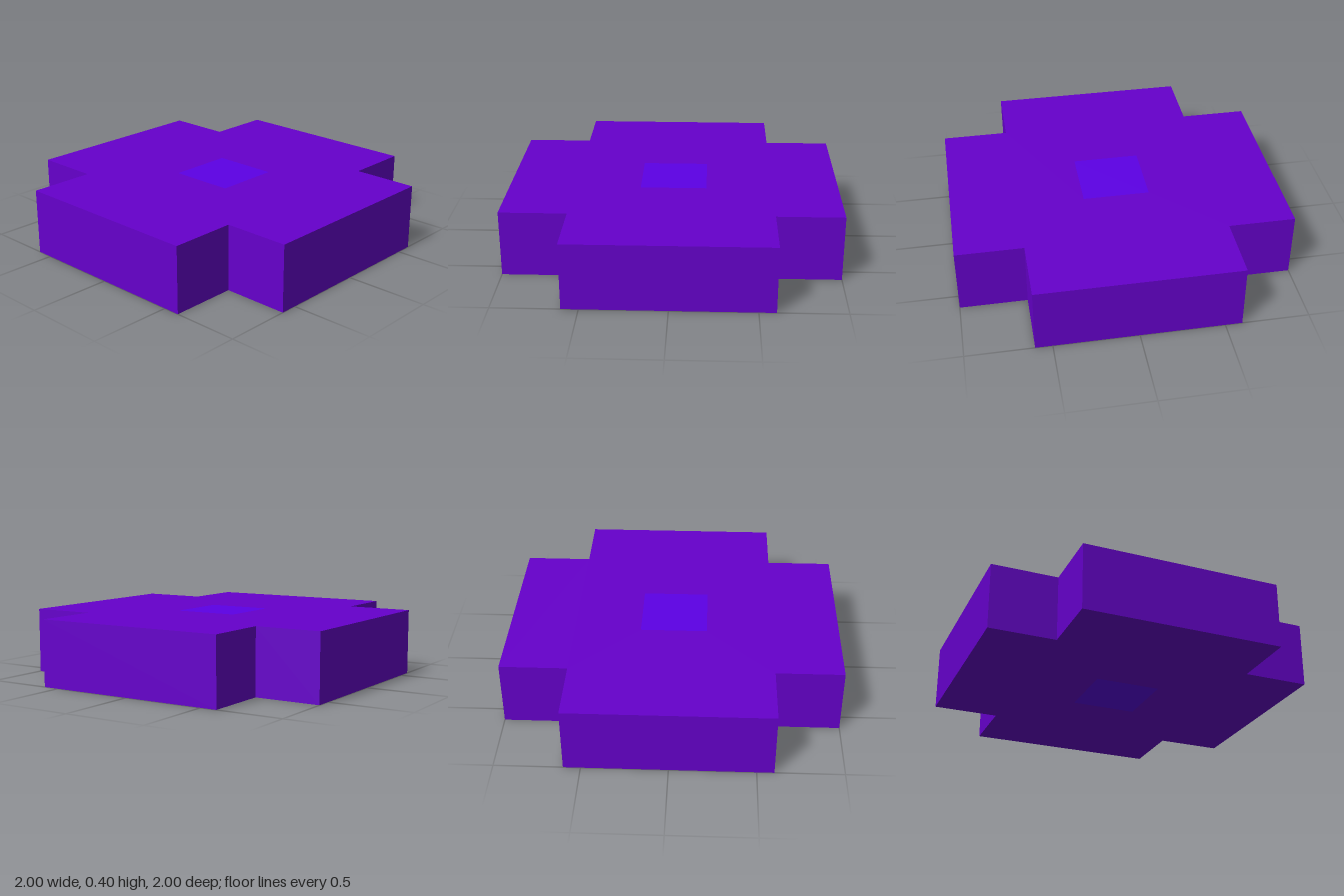
import * as THREE from 'three';

const HEIGHT = 0.4;

export function createModel() {
  const purple = new THREE.MeshStandardMaterial({ name: 'purple', color: 0x6600cc });
  const violet = new THREE.MeshStandardMaterial({ name: 'blueViolet', color: 0x5c00e6 });
  const group = new THREE.Group();
  group.name = 'crossBlock';

  // Cross-shaped slab: a 2 x 2 square with notched corners and a square opening
  const outer = 1, arm = 0.6, core = 0.2;
  const corners = [];
  for (let i = 0; i < 4; i++) {
    const centre = new THREE.Vector2();
    for (const [x, y] of [[outer, -arm], [outer, arm], [arm, arm]]) {
      corners.push(new THREE.Vector2(x, y).rotateAround(centre, i * Math.PI / 2));
    }
  }
  const cross = new THREE.Shape(corners);
  cross.holes.push(new THREE.Path([
    new THREE.Vector2(-core, -core), new THREE.Vector2(-core, core),
    new THREE.Vector2(core, core), new THREE.Vector2(core, -core),
  ]));
  const slabGeometry = new THREE.ExtrudeGeometry(cross, { depth: HEIGHT, bevelEnabled: false });
  slabGeometry.rotateX(-Math.PI / 2);
  const slab = new THREE.Mesh(slabGeometry, purple);
  slab.name = 'crossSlab';
  group.add(slab);

  // Square core, flush with the slab above and below
  const centreBlock = new THREE.Mesh(new THREE.BoxGeometry(core * 2, HEIGHT, core * 2), violet);
  centreBlock.name = 'centreBlock';
  centreBlock.position.y = HEIGHT / 2;
  group.add(centreBlock);

  return group;
}
